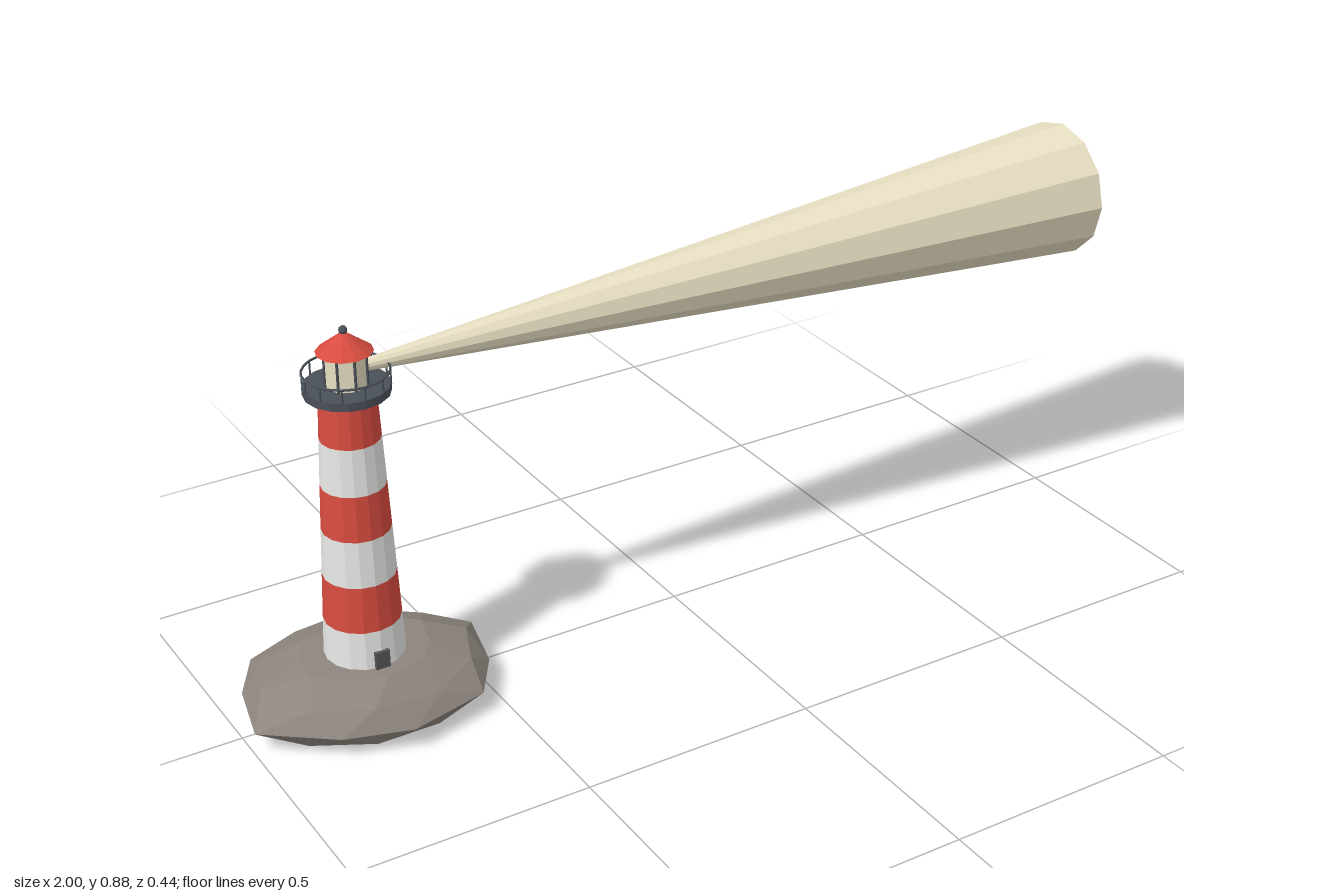
import * as THREE from 'three';

const mat = (name, color, extra = {}) => {
  const m = new THREE.MeshStandardMaterial({ color, ...extra });
  m.name = name;
  return m;
};

export function createModel() {
  const rockGrey = mat('rock grey', 0x8d857e, { flatShading: true });
  const white = mat('white paint', 0xeeeeec, { flatShading: true });
  const red = mat('red paint', 0xd84c40, { flatShading: true });
  const iron = mat('dark iron', 0x4a5058, { flatShading: true });
  const doorGrey = mat('door grey', 0x555555, { flatShading: true });
  const light = mat('pale light', 0xe9e1c4, { flatShading: true });

  const model = new THREE.Group();
  model.name = 'lighthouse';
  const tower = new THREE.Group();
  tower.name = 'tower';
  tower.position.x = -0.727;
  model.add(tower);

  const add = (name, geo, material, x = 0, y = 0, z = 0, parent = tower) => {
    const m = new THREE.Mesh(geo, material);
    m.name = name;
    m.position.set(x, y, z);
    parent.add(m);
    return m;
  };
  // cylinder given by its bottom and top heights
  const drum = (name, rTop, rBottom, y0, y1, sides, material, x = 0, z = 0) =>
    add(name, new THREE.CylinderGeometry(rTop, rBottom, y1 - y0, sides), material, x, (y0 + y1) / 2, z);

  // Rock: an irregular outline, shrunk ring by ring above and below the waist
  const outline = [
    [-0.272, 0.07], [-0.136, 0.176], [0, 0.219], [0.172, 0.176], [0.238, 0.075],
    [0.272, -0.07], [0.14, -0.18], [0, -0.221], [-0.175, -0.18], [-0.238, -0.075],
  ];
  const n = outline.length;
  const ring = (scale, y, half) => outline.map((p, i) => {
    const q = half ? outline[(i + 1) % n] : p;
    const wobble = y > 0.05 && y < 0.1 ? 0.008 * Math.sin(i * 2.3) : 0;
    return [(p[0] + q[0]) / 2 * scale, y + wobble, (p[1] + q[1]) / 2 * scale];
  });
  const rings = [ring(0, 0, false), ring(0.55, 0, false), ring(0.87, 0.01, true),
    ring(1, 0.05, false), ring(0.88, 0.088, true), ring(0.52, 0.117, false), ring(0, 0.122, false)];
  const pos = [];
  for (let k = 0; k < rings.length - 1; k++) {
    const a = rings[k], b = rings[k + 1];
    const aHalf = k === 2, bHalf = k === 1 || k === 3;
    for (let i = 0; i < n; i++) {
      const j = (i + 1) % n;
      if (aHalf || k === 4) pos.push(...a[i], ...a[j], ...b[j], ...a[i], ...b[j], ...b[i]);
      else if (bHalf) pos.push(...a[i], ...a[j], ...b[i], ...a[j], ...b[j], ...b[i]);
      else if (k === 0) pos.push(...a[i], ...b[j], ...b[i]);
      else pos.push(...a[i], ...a[j], ...b[i]);
    }
  }
  const rockGeo = new THREE.BufferGeometry();
  rockGeo.setAttribute('position', new THREE.Float32BufferAttribute(pos, 3));
  rockGeo.computeVertexNormals();
  add('rock', rockGeo, rockGrey);

  // Tapered tower in alternating bands
  const radiusAt = (y) => 0.082 - (y - 0.12) * 0.0455;
  const levels = [0.1, 0.2, 0.3, 0.4, 0.497, 0.597, 0.692];
  for (let i = 0; i < 6; i++) {
    drum('towerBand', radiusAt(levels[i + 1]), radiusAt(levels[i]), levels[i], levels[i + 1], 16, i % 2 ? red : white);
  }
  add('door', new THREE.BoxGeometry(0.03, 0.045, 0.016), doorGrey, 0, 0.133, 0.079);

  // Gallery deck with railing
  drum('galleryDeck', 0.085, 0.085, 0.692, 0.709, 16, iron);
  const rail = add('galleryRail', new THREE.TorusGeometry(0.084, 0.0025, 5, 24), iron, 0, 0.737);
  rail.rotation.x = Math.PI / 2;
  for (let i = 0; i < 12; i++) {
    const a = i * Math.PI / 6;
    drum('railPost', 0.002, 0.002, 0.707, 0.737, 5, iron, 0.084 * Math.sin(a), 0.084 * Math.cos(a));
  }

  // Lantern room with glazing bars, roof and finial
  drum('lanternGlass', 0.043, 0.043, 0.707, 0.78, 8, light);
  for (let i = 0; i < 8; i++) {
    const a = i * Math.PI / 4;
    drum('glazingBar', 0.003, 0.003, 0.707, 0.78, 5, iron, 0.043 * Math.sin(a), 0.043 * Math.cos(a));
  }
  add('roof', new THREE.ConeGeometry(0.056, 0.042, 12), red, 0, 0.799);
  add('finial', new THREE.SphereGeometry(0.009, 8, 6), iron, 0, 0.821);

  // Light beam widening sideways
  const beamGeo = new THREE.CylinderGeometry(0.147, 0.012, 1.685, 12);
  beamGeo.rotateZ(-Math.PI / 2);
  add('lightBeam', beamGeo, light, 0.1575, 0.738, 0, model);

  return model;
}
